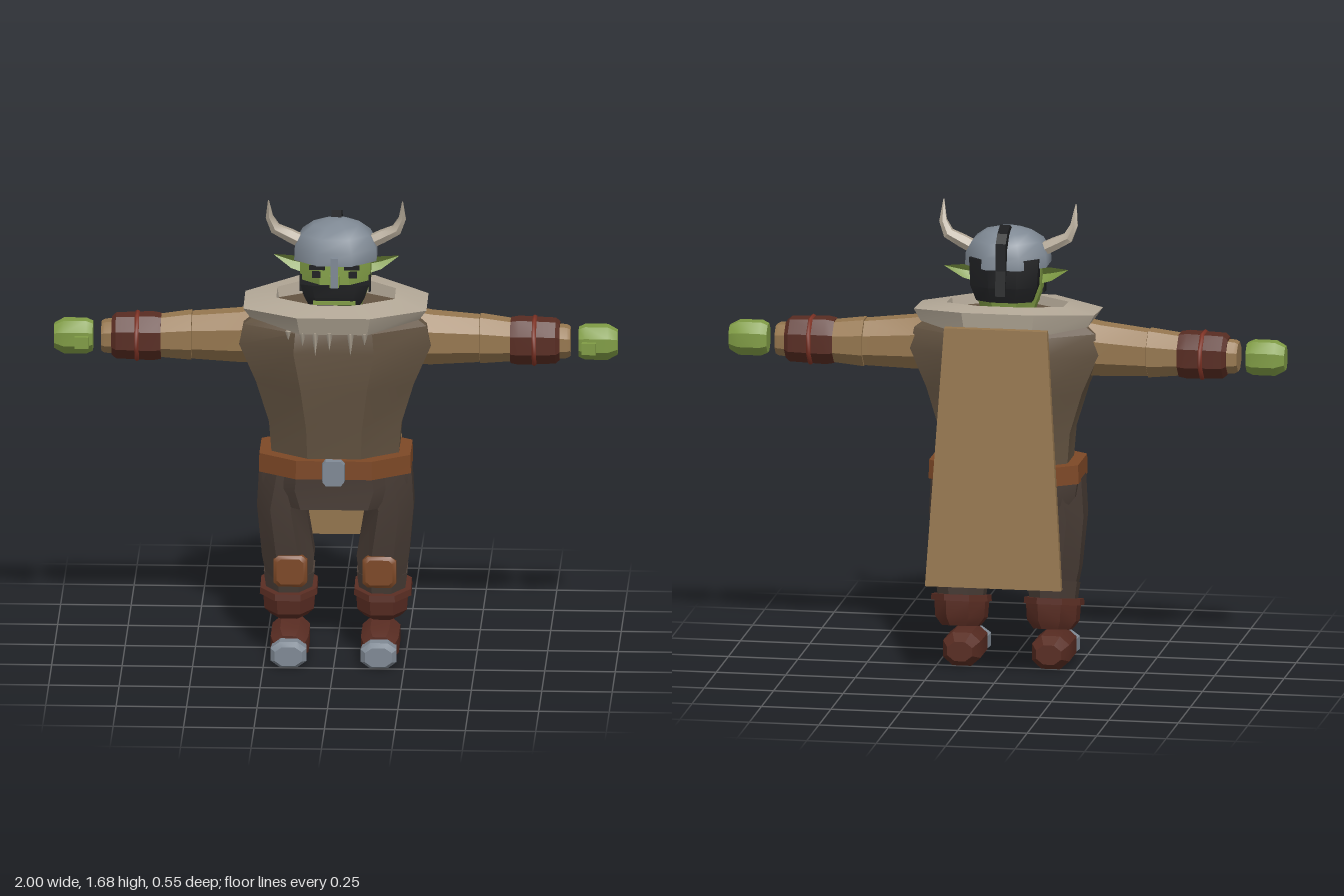
import * as THREE from 'three';
import { toCreasedNormals } from 'three/addons/utils/BufferGeometryUtils.js';

const mat = (name, color) => {
  const m = new THREE.MeshStandardMaterial({ color });
  m.name = name;
  return m;
};

// Chamfered eight-sided ring: centre, half sizes, flat fraction c, slope along z, lift towards the sides
const ring = (y, cx, cz, hx, hz, c = 0.42, slope = 0, lift = 0) =>
  [[-c, 1], [c, 1], [1, c], [1, -c], [c, -1], [-c, -1], [-1, -c], [-1, c]].map(([u, v]) =>
    [cx + u * hx, y + slope * v * hz + lift * Math.abs(u), cz + v * hz]);

// Skin between rings from bottom to top; loop joins the last ring to the first instead of capping
function loft(rings, loop = false, crease = 0.5) {
  const n = rings[0].length, idx = [], R = rings.length;
  for (let r = 0; r < (loop ? R : R - 1); r++) {
    for (let i = 0; i < n; i++) {
      const j = (i + 1) % n, a = r * n, b = ((r + 1) % R) * n;
      idx.push(a + i, a + j, b + j, a + i, b + j, b + i);
    }
  }
  if (!loop) {
    const t = (R - 1) * n;
    for (let i = 1; i < n - 1; i++) idx.push(0, i + 1, i, t, t + i, t + i + 1);
  }
  const g = new THREE.BufferGeometry();
  g.setAttribute('position', new THREE.Float32BufferAttribute(rings.flat(2), 3));
  g.setIndex(idx);
  return toCreasedNormals(g, crease);
}

export function createModel() {
  const green = mat('skin green', 0x809c45), tan = mat('tan cloth', 0x96774f);
  const tunicM = mat('tunic brown', 0x635341), leather = mat('belt leather', 0x7d4826);
  const boot = mat('boot brown', 0x582c22), red = mat('trim red', 0x823426);
  const pants = mat('trouser brown', 0x483c35), steel = mat('steel', 0x7f8994);
  const bone = mat('bone and fur', 0xb3a897), black = mat('black hair', 0x1d1e20);

  const model = new THREE.Group();
  model.name = 'hornedWarrior';
  const add = (parent, name, geo, m) => {
    const mesh = new THREE.Mesh(geo, m);
    mesh.name = name;
    parent.add(mesh);
    return mesh;
  };
  const box = (parent, name, m, w, h, d, x, y, z) => {
    const b = add(parent, name, new THREE.BoxGeometry(w, h, d), m);
    b.position.set(x, y, z);
    return b;
  };

  // Torso, hips and belt
  add(model, 'tunic', loft([
    ring(0.68, 0, 0.035, 0.22, 0.155), ring(0.87, 0, 0.035, 0.235, 0.175),
    ring(1.02, 0, 0.04, 0.28, 0.195), ring(1.16, 0, 0.042, 0.34, 0.202),
    ring(1.235, 0, 0.045, 0.325, 0.195), ring(1.29, 0, 0.045, 0.25, 0.17)]), tunicM);
  add(model, 'hips', loft([
    ring(0.57, 0, 0.04, 0.2, 0.155, 0.6), ring(0.64, 0, 0.04, 0.255, 0.155, 0.55),
    ring(0.71, 0, 0.04, 0.265, 0.16, 0.5)]), pants);
  add(model, 'belt', loft([ring(0.692, 0, 0.04, 0.27, 0.188, 0.5), ring(0.76, 0, 0.04, 0.268, 0.188, 0.5)]), leather);
  const buckle = add(model, 'buckle', loft([ring(-0.014, 0, 0, 0.04, 0.047, 0.7), ring(0.014, 0, 0, 0.038, 0.045, 0.7)]), steel);
  buckle.rotation.x = Math.PI / 2;
  buckle.position.set(0, 0.726, 0.258);

  // Fur collar with hanging tufts
  add(model, 'furCollar', loft([
    ring(1.225, 0, 0.04, 0.3, 0.21, 0.4, -0.02, 0.035), ring(1.325, 0, 0.045, 0.325, 0.228, 0.4, -0.06, -0.025),
    ring(1.335, 0, 0.03, 0.21, 0.14, 0.4, -0.06, -0.01), ring(1.25, 0, 0.03, 0.2, 0.13, 0.4)], true), bone);
  [[-0.16, 0.04], [-0.11, 0.05], [-0.065, 0.085], [-0.015, 0.065], [0.06, 0.085], [0.11, 0.045]].forEach(([x, h]) => {
    const tuft = add(model, 'furTuft', new THREE.ConeGeometry(0.013, h, 4), bone);
    tuft.rotation.x = Math.PI;
    tuft.position.set(x, 1.24 - h / 2, 0.246 - Math.max(0, Math.abs(x) - 0.12) * 0.5);
  });

  // Cape: a tapered slab hanging clear of the back
  const slab = (y, z, w) => [[-w, y, z + 0.014], [w, y, z + 0.014], [w, y, z - 0.014], [-w, y, z - 0.014]];
  add(model, 'cape', loft([slab(0.35, -0.26, 0.245), slab(1.28, -0.21, 0.185)]), tan);

  // Head, hair and face
  add(model, 'head', loft([
    ring(1.25, 0, 0.04, 0.08, 0.08), ring(1.32, 0, 0.06, 0.1, 0.105), ring(1.38, 0, 0.05, 0.124, 0.118),
    ring(1.49, 0, 0.045, 0.125, 0.115)]), green);
  add(model, 'backHair', loft([
    ring(1.345, 0, -0.025, 0.1, 0.05), ring(1.4, 0, -0.03, 0.12, 0.06), ring(1.5, 0, -0.025, 0.125, 0.06)]), black);
  add(model, 'beard', loft([
    ring(1.305, 0, 0.125, 0.085, 0.05, 0.6), ring(1.35, 0, 0.13, 0.108, 0.05, 0.65),
    ring(1.395, 0, 0.13, 0.122, 0.05, 0.65)]), black);
  box(model, 'lowerLip', green, 0.15, 0.014, 0.012, 0, 1.332, 0.178);
  box(model, 'chin', green, 0.19, 0.022, 0.1, 0, 1.32, 0.1);
  box(model, 'nose', green, 0.035, 0.04, 0.03, 0, 1.41, 0.172);

  // Helmet with nose guard and black plume
  add(model, 'helmet', loft([
    ring(1.465, 0, 0.043, 0.146, 0.132), ring(1.51, 0, 0.043, 0.144, 0.13), ring(1.555, 0, 0.04, 0.12, 0.11),
    ring(1.585, 0, 0.035, 0.08, 0.075), ring(1.6, 0, 0.03, 0.03, 0.03)], false, 1), steel);
  box(model, 'noseGuard', steel, 0.026, 0.11, 0.022, 0, 1.445, 0.183);
  const plume = new THREE.Shape();
  [[0.03, 1.592], [-0.02, 1.617], [-0.08, 1.598], [-0.113, 1.568], [-0.118, 1.47], [-0.13, 1.38],
    [-0.1, 1.455], [-0.085, 1.54], [-0.04, 1.58]].forEach(([z, y], i) => i ? plume.lineTo(-z, y) : plume.moveTo(-z, y));
  const plumeGeo = new THREE.ExtrudeGeometry(plume, { depth: 0.036, bevelEnabled: false });
  plumeGeo.translate(0, 0, -0.018).rotateY(Math.PI / 2);
  add(model, 'plume', plumeGeo, black);

  // Mirrored parts, built for the left side
  for (const s of [1, -1]) {
    const side = new THREE.Group();
    side.name = s > 0 ? 'leftSide' : 'rightSide';
    side.scale.x = s;
    model.add(side);

    // Horn, swept outwards then up
    const horn = [[0.115, 1.515, 0.04, 0.026], [0.165, 1.54, 0.04, 0.025], [0.215, 1.565, 0.042, 0.022],
      [0.236, 1.61, 0.05, 0.015], [0.238, 1.68, 0.078, 0.002]];
    add(side, 'horn', loft(horn.map(([x, y, z, r], k) => {
      const t = [1.1, 1.1, 0.75, 0.25, 0][k];
      return [0, 1, 2, 3, 4, 5].map(i => {
        const a = i * Math.PI / 3, u = Math.sin(a) * r;
        return [x + u * Math.cos(t), y - u * Math.sin(t), z + Math.cos(a) * r];
      });
    })), bone);

    // Ear, brow and eye
    const ear = (x, y, z, h, d) => [[x, y - h, z], [x, y, z - d], [x, y + h, z], [x, y, z + d]];
    add(side, 'ear', loft([ear(0.11, 1.425, 0.025, 0.03, 0.022), ear(0.16, 1.435, 0.018, 0.024, 0.018),
      ear(0.222, 1.456, 0.0, 0.001, 0.001)].map(r => r.reverse())), green);
    box(side, 'eyebrow', black, 0.055, 0.016, 0.009, 0.062, 1.458, 0.166);
    box(side, 'eye', black, 0.03, 0.022, 0.009, 0.065, 1.432, 0.164);
    box(side, 'sideburn', black, 0.008, 0.06, 0.045, 0.122, 1.385, 0.09);

    // Arm, modelled upright and laid along x
    const arm = new THREE.Group();
    arm.name = 'arm';
    arm.rotation.z = -Math.PI / 2;
    arm.position.set(0, 1.163, 0.025);
    side.add(arm);
    add(arm, 'upperSleeve', loft([ring(0.24, -0.015, 0.01, 0.1, 0.085), ring(0.34, -0.005, 0.01, 0.092, 0.078),
      ring(0.51, 0, 0, 0.08, 0.072)]), tan);
    add(arm, 'lowerSleeve', loft([ring(0.512, 0, 0, 0.084, 0.076), ring(0.64, 0.003, 0.005, 0.07, 0.068),
      ring(0.82, 0.005, 0.01, 0.056, 0.056), ring(0.832, 0.005, 0.01, 0.05, 0.05)]), tan);
    add(arm, 'bracer', loft([ring(0.62, 0.003, 0.01, 0.076, 0.075), ring(0.65, 0.003, 0.01, 0.081, 0.08),
      ring(0.78, 0.003, 0.01, 0.076, 0.075), ring(0.795, 0.003, 0.01, 0.064, 0.064)]), boot);
    const band = add(arm, 'bracerBand', new THREE.TorusGeometry(0.083, 0.009, 6, 8), red);
    band.rotation.set(Math.PI / 2, 0, Math.PI / 8);
    band.position.set(0.003, 0.705, 0.01);
    add(arm, 'hand', loft([ring(0.862, 0.005, 0.012, 0.05, 0.045), ring(0.885, 0.005, 0.012, 0.06, 0.055),
      ring(0.965, 0.005, 0.012, 0.06, 0.055), ring(1, 0.005, 0.012, 0.042, 0.038)]), green);
    box(arm, 'thumb', green, 0.042, 0.05, 0.03, 0.012, 0.9, 0.072);

    // Trouser leg and knee pad
    add(side, 'trouserLeg', loft([ring(0.3, 0.165, 0.04, 0.082, 0.085, 0.42, -0.2), ring(0.37, 0.168, 0.045, 0.093, 0.095),
      ring(0.56, 0.192, 0.05, 0.086, 0.118), ring(0.7, 0.155, 0.05, 0.115, 0.122)]), pants);
    add(side, 'shin', loft([ring(0.2, 0.165, 0.03, 0.075, 0.075, 0.42, -0.2), ring(0.315, 0.165, 0.035, 0.09, 0.088, 0.42, -0.25)]), pants);
    const pad = add(side, 'kneePad', loft([ring(-0.016, 0, 0, 0.06, 0.057, 0.7), ring(0.008, 0, 0, 0.06, 0.057, 0.7),
      ring(0.017, 0, 0, 0.048, 0.046, 0.7)]), leather);
    pad.rotation.x = Math.PI / 2;
    pad.position.set(0.158, 0.327, 0.138);

    // Boot shaft with tilted cuff, foot and steel toe
    add(side, 'bootShaft', loft([ring(0.145, 0.165, 0.015, 0.065, 0.065, 0.45, -0.2), ring(0.175, 0.165, 0.025, 0.088, 0.088, 0.45, -0.2),
      ring(0.235, 0.165, 0.03, 0.092, 0.092, 0.45, -0.2)]), boot);
    add(side, 'bootCuff', loft([ring(0.232, 0.167, 0.032, 0.102, 0.1, 0.45, -0.2), ring(0.255, 0.167, 0.032, 0.1, 0.098, 0.45, -0.2)]), boot);
    const foot = new THREE.Group();
    foot.name = 'foot';
    foot.rotation.x = Math.PI / 2;
    foot.position.set(0.16, 0, 0);
    side.add(foot);
    add(foot, 'footLeather', loft([ring(-0.043, 0, -0.062, 0.045, 0.035), ring(0, 0, -0.062, 0.067, 0.06, 0.5),
      ring(0.15, 0, -0.06, 0.067, 0.058, 0.5), ring(0.19, 0, -0.055, 0.055, 0.045)]), boot);
    add(foot, 'toeCap', loft([ring(0.175, 0, -0.047, 0.06, 0.045, 0.5), ring(0.24, 0, -0.047, 0.064, 0.046, 0.5),
      ring(0.26, 0, -0.045, 0.048, 0.034, 0.5)]), steel);
  }
  return model;
}
